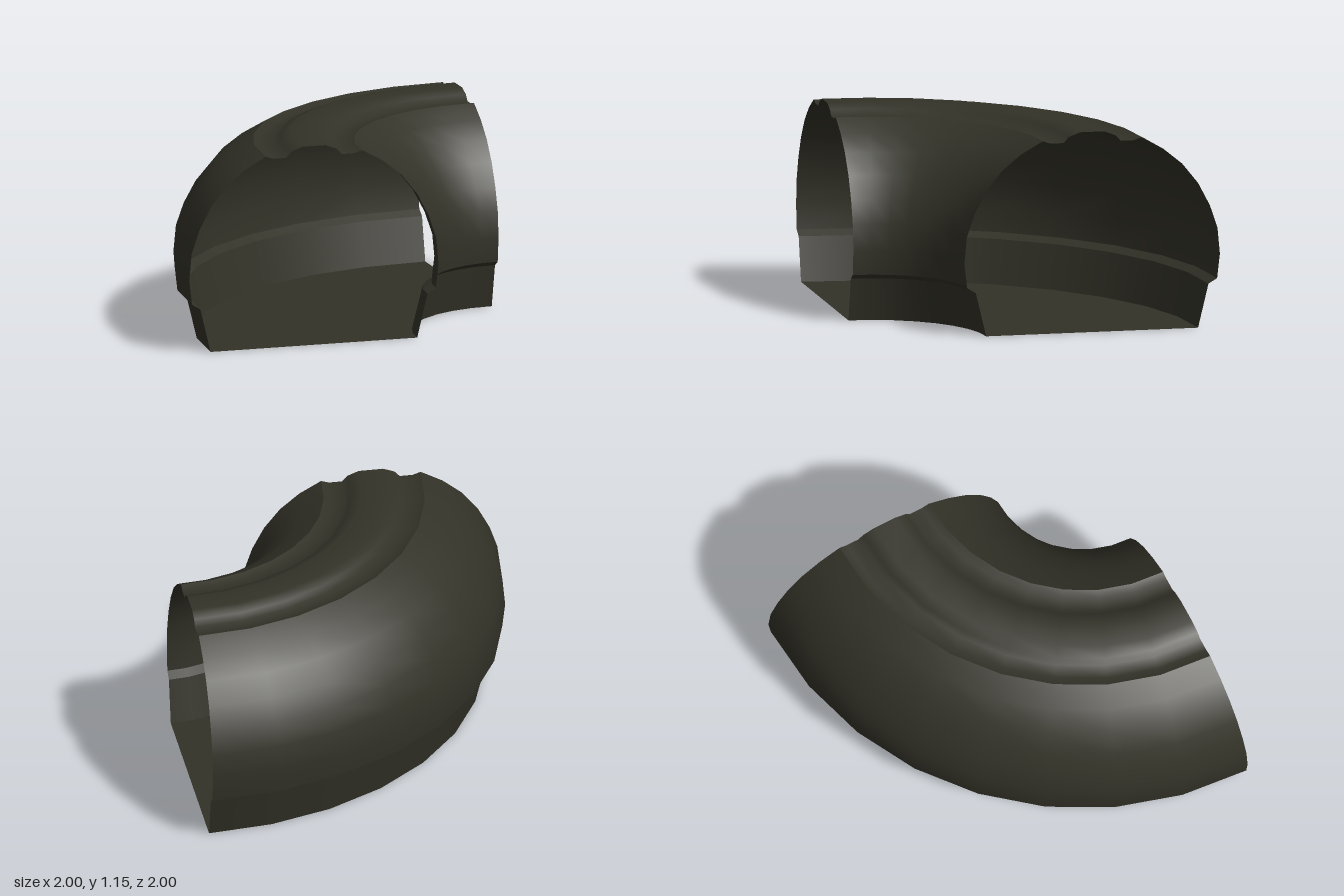
import * as THREE from 'three';

// Quarter-turn tunnel: strips of one cross-section swept round a corner pivot.
const PIVOT = 1;        // sweep axis stands at x = 1, z = 1
const MID_RADIUS = 1.262; // radius of the tunnel's centre line
const SEGMENTS = 8;

export function createModel() {
  const group = new THREE.Group();
  group.name = 'curvedTunnel';

  const shell = new THREE.MeshStandardMaterial({ color: 0x333228, side: THREE.DoubleSide });
  shell.name = 'dark olive';

  // Sweep a strip of [offset from centre line, height] points through 90 degrees
  const sweep = (name, points) => {
    const profile = points.map(([d, y]) => new THREE.Vector2(MID_RADIUS + d, y));
    const geometry = new THREE.LatheGeometry(profile, SEGMENTS, Math.PI, Math.PI / 2);
    const mesh = new THREE.Mesh(geometry, shell);
    mesh.name = name;
    mesh.position.set(PIVOT, 0, PIVOT);
    group.add(mesh);
  };
  const mirror = (points) => points.map(([d, y]) => [-d, y]).reverse();

  // Side strips, listed from the ground upwards; each joint is a sharp crease
  const sides = {
    Skirt: [[0.612, 0], [0.672, 0.25]],
    Ledge: [[0.672, 0.25], [0.722, 0.28]],
    Wall: [
      [0.722, 0.28], [0.738, 0.42], [0.724, 0.57], [0.68, 0.7], [0.612, 0.83],
      [0.52, 0.945], [0.41, 1.035], [0.285, 1.105],
    ],
  };
  for (const [part, points] of Object.entries(sides)) {
    sweep('outer' + part, points);
    sweep('inner' + part, mirror(points));
  }

  // Roof band: shallow gutters either side of a raised ridge
  const halfRoof = [[0.285, 1.105], [0.24, 1.09], [0.165, 1.09], [0.135, 1.123], [0.07, 1.148]];
  sweep('roofRidge', [...halfRoof, ...mirror(halfRoof)]);

  // Flat floor, facing down
  sweep('floor', [[-0.612, 0], [0.612, 0]]);

  return group;
}
